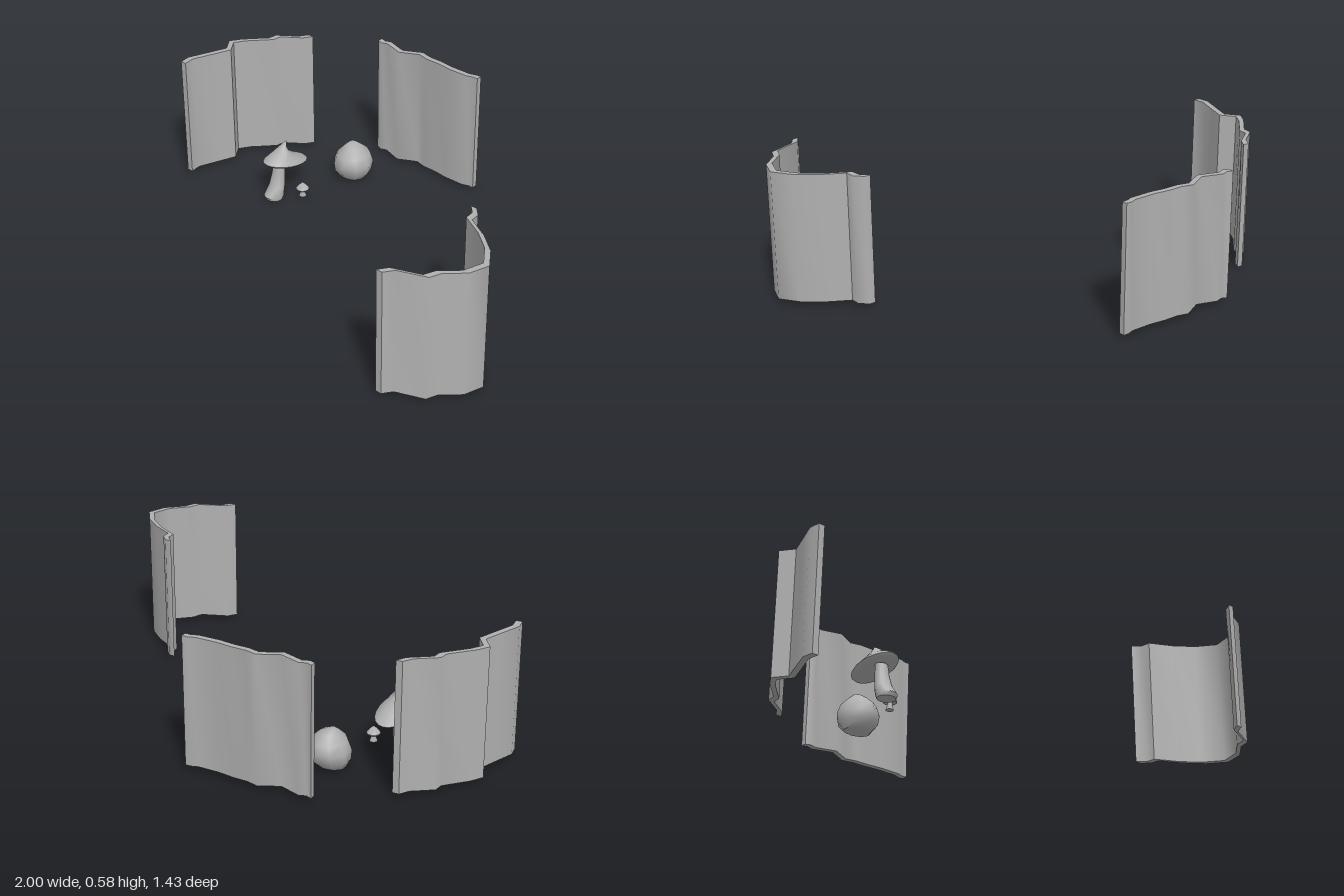
import * as THREE from 'three';
import { toCreasedNormals } from 'three/addons/utils/BufferGeometryUtils.js';

const grey = new THREE.MeshStandardMaterial({ color: 0xb0b0b0 });
grey.name = 'stone grey';

function add(parent, name, geometry, crease) {
  const mesh = new THREE.Mesh(toCreasedNormals(geometry, crease), grey);
  mesh.name = name;
  parent.add(mesh);
}

// Closed solid through elliptical rings [cx, y, cz, rx, rz, tilt], bottom to top
function loft(rings, sides) {
  const pos = [], index = [], last = rings.length - 1;
  for (const [cx, y, cz, rx, rz, tilt = 0] of rings) {
    for (let j = 0; j < sides; j++) {
      const a = (j / sides) * Math.PI * 2, s = Math.sin(a) * rz;
      pos.push(cx + Math.cos(a) * rx, y + s * tilt, cz + s);
    }
  }
  const bottom = pos.length / 3, top = bottom + 1;
  pos.push(...rings[0].slice(0, 3), ...rings[last].slice(0, 3));
  for (let j = 0; j < sides; j++) {
    const k = (j + 1) % sides;
    for (let i = 0; i < last; i++) {
      const a = i * sides + j, b = i * sides + k;
      index.push(a, a + sides, b, b, a + sides, b + sides);
    }
    index.push(bottom, j, k, top, last * sides + k, last * sides + j);
  }
  const g = new THREE.BufferGeometry();
  g.setAttribute('position', new THREE.Float32BufferAttribute(pos, 3));
  g.setIndex(index);
  g.computeVertexNormals();
  return g;
}

// Upright wall along a ground path of [x, z], thickened by a shift of (dx, dz)
function wall(path, dx, dz) {
  const one = path.map(([x, z]) => new THREE.Vector2(x + dx, -(z + dz)));
  const two = path.map(([x, z]) => new THREE.Vector2(x - dx, -(z - dz))).reverse();
  const g = new THREE.ExtrudeGeometry(new THREE.Shape([...one, ...two]), { depth: 0.56, bevelEnabled: false });
  return g.rotateX(-Math.PI / 2).translate(0, 0.02, 0);
}

export function createModel() {
  const model = new THREE.Group();
  model.name = 'mushroomClearing';

  // Three wavy wall sections
  add(model, 'backWall', wall([[-0.465, -0.69], [-0.44, -0.68], [-0.41, -0.69], [-0.32, -0.66],
    [-0.235, -0.703], [-0.185, -0.69], [-0.12, -0.689], [-0.05, -0.68], [0.045, -0.68],
    [0.075, -0.69], [0.1, -0.69]], 0, 0.013), 0.95);
  add(model, 'rightWall', wall([[-0.73, -0.51], [-0.755, -0.47], [-0.84, -0.41], [-0.845, -0.37],
    [-0.93, -0.28], [-0.962, -0.23], [-0.92, -0.17], [-0.95, -0.09], [-0.986, 0.005],
    [-0.98, 0.055]], 0.014, 0), 0.95);
  add(model, 'leftWall', wall([[0.717, 0.155], [0.75, 0.19], [0.752, 0.23], [0.85, 0.285],
    [0.93, 0.35], [0.985, 0.43], [0.957, 0.515], [0.885, 0.58], [0.865, 0.63], [0.745, 0.675],
    [0.717, 0.715]], 0.014, 0), 0.95);

  // Large leaning mushroom with a tilted, pointed cap
  const large = new THREE.Group();
  large.name = 'largeMushroom';
  model.add(large);
  const x = -0.545;
  add(large, 'largeStem', loft([
    [x, 0.003, -0.048, 0.04, 0.038], [x, 0.02, -0.048, 0.045, 0.046],
    [x, 0.06, -0.068, 0.038, 0.034], [x, 0.115, -0.08, 0.031, 0.028],
    [x, 0.163, -0.086, 0.027, 0.025]], 16), 1);
  add(large, 'largeCap', loft([
    [x, 0.16, -0.11, 0.03, 0.04, 0.2], [x, 0.158, -0.126, 0.07, 0.112, 0.2],
    [x, 0.166, -0.127, 0.077, 0.119, 0.2], [x, 0.173, -0.125, 0.073, 0.112, 0.2],
    [x, 0.197, -0.106, 0.053, 0.072, 0.14], [x, 0.222, -0.108, 0.033, 0.028, 0.08],
    [x, 0.24, -0.114, 0.018, 0.016], [x, 0.252, -0.126, 0.009, 0.008],
    [x, 0.26, -0.135, 0.002, 0.002]], 20), 1);

  // Small mushroom
  const small = new THREE.Group();
  small.name = 'smallMushroom';
  small.position.set(-0.452, 0, -0.138);
  model.add(small);
  const ring = ([y, r]) => [0, y, 0, r, r];
  add(small, 'smallStem', loft([[0.01, 0.017], [0.025, 0.012], [0.046, 0.01]].map(ring), 12), 1);
  add(small, 'smallCap', loft([[0.043, 0.018], [0.042, 0.027], [0.048, 0.03], [0.062, 0.019],
    [0.071, 0.009], [0.077, 0.002]].map(ring), 12), 1);

  // Rounded boulder
  add(model, 'boulder', loft([
    [-0.4, 0.013, -0.411, 0.062, 0.046], [-0.395, 0.05, -0.416, 0.088, 0.083],
    [-0.393, 0.09, -0.418, 0.091, 0.093], [-0.393, 0.13, -0.418, 0.074, 0.084],
    [-0.395, 0.163, -0.418, 0.042, 0.046], [-0.405, 0.18, -0.42, 0.014, 0.022]], 9), 1);

  return model;
}
